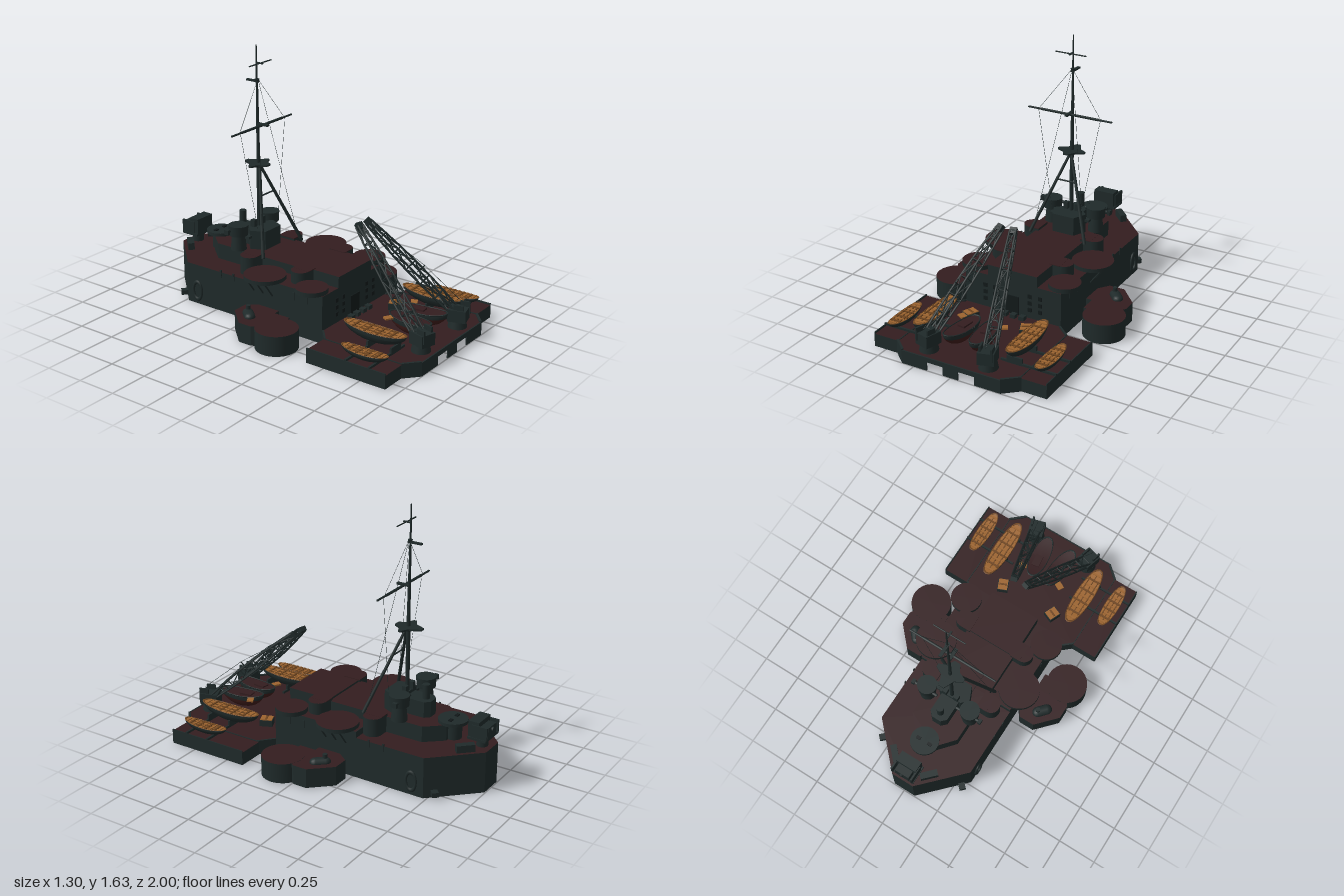
import * as THREE from 'three';

const make = (name, color) => new THREE.MeshStandardMaterial({ name, color, side: THREE.DoubleSide });
const steel = make('dark steel', 0x1f2a2a);
const deck = make('maroon deck', 0x331d1f);
const wood = make('boat wood', 0x9c642f);
const woodDark = make('dark wood', 0x6e451f);
const red = make('hull red', 0x3f1c1a);
const black = make('near black', 0x12191a);

const V = (x, y, z) => new THREE.Vector3(x, y, z);

export function createModel() {
  const root = new THREE.Group();
  root.name = 'warshipSuperstructure';
  const sides = [1, -1];

  const add = (name, geo, mat, x = 0, y = 0, z = 0, ry = 0, parent = root) => {
    const m = new THREE.Mesh(geo, mat);
    m.name = name;
    m.position.set(x, y, z);
    m.rotation.y = ry;
    parent.add(m);
    return m;
  };
  const box = (name, w, h, d, x, y, z, mat = steel, ry = 0, parent = root) =>
    add(name, new THREE.BoxGeometry(w, h, d), mat, x, y, z, ry, parent);
  // Upright drum, with its own top colour
  const drum = (name, r, y0, y1, x, z, top = steel, rb = r, seg = 28) =>
    add(name, new THREE.CylinderGeometry(r, rb, y1 - y0, seg), [steel, top, steel], x, (y0 + y1) / 2, z);
  const rod = (name, a, b, r, mat = steel, r2 = r, seg = 6, parent = root) => {
    const m = new THREE.Mesh(new THREE.CylinderGeometry(r2, r, a.distanceTo(b), seg), mat);
    m.name = name;
    m.position.copy(a).lerp(b, 0.5);
    m.quaternion.setFromUnitVectors(V(0, 1, 0), b.clone().sub(a).normalize());
    parent.add(m);
    return m;
  };
  const shapeOf = pts => new THREE.Shape(pts.map(p => new THREE.Vector2(p[0], p[1])));
  // Solid block from a plan outline of [x, z]
  const prism = (name, pts, y0, y1, top = deck) => {
    const g = new THREE.ExtrudeGeometry(shapeOf(pts), { depth: y1 - y0, bevelEnabled: false });
    return add(name, g.rotateX(Math.PI / 2), [top, steel], 0, y1, 0);
  };
  // Plating along an open outline, covered by a deck and open underneath
  const shell = (name, pts, y0, y1) => {
    const pos = [];
    for (let i = 0; i < pts.length - 1; i++) {
      const [ax, az] = pts[i], [bx, bz] = pts[i + 1];
      pos.push(ax, y0, az, bx, y0, bz, bx, y1, bz, ax, y0, az, bx, y1, bz, ax, y1, az);
    }
    const g = new THREE.BufferGeometry();
    g.setAttribute('position', new THREE.Float32BufferAttribute(pos, 3));
    g.computeVertexNormals();
    add(name + 'Plating', g, steel);
    add(name + 'Deck', new THREE.ShapeGeometry(shapeOf(pts)).rotateX(Math.PI / 2), deck, 0, y1, 0);
  };
  // Full outline from the +x half
  const mirror = half => [...half, ...half.map(([x, z]) => [-x, z]).reverse()];

  // Main hull, open inside from end to end
  shell('sternHull', mirror([[0.33, -0.27], [0.33, -0.73], [0.075, -0.995]]), 0, 0.26);
  shell('midHull', mirror([[0.33, -0.27], [0.33, 0.31]]), 0, 0.3);
  box('deckStep', 0.66, 0.04, 0.006, 0, 0.28, -0.27);
  prism('centralHouse', mirror([[0.17, 0.312], [0.17, -0.28]]), 0.3, 0.36);
  prism('centralHouseRoof', mirror([[0.17, 0.315], [0.17, 0.02]]), 0.36, 0.372);
  prism('bridgeHouse', mirror([[0.165, -0.28], [0.165, -0.62], [0.07, -0.73]]), 0.26, 0.36);

  // Low boat deck with a steel edge round its raised middle
  shell('boatDeck', mirror([[0.33, 1], [0.42, 0.92], [0.58, 0.92], [0.58, 0.38], [0.41, 0.38], [0.33, 0.31]]), 0, 0.083);
  box('deckRearBeam', 0.66, 0.083, 0.006, 0, 0.041, 0.315);
  box('deckFrontBeam', 0.66, 0.03, 0.008, 0, 0.07, 0.996);
  box('deckFrontPier', 0.1, 0.055, 0.008, 0, 0.0275, 0.996);
  for (const s of sides) {
    box('deckFrontPier', 0.17, 0.055, 0.008, s * 0.245, 0.0275, 0.996);
    box('deckGirder', 0.01, 0.07, 0.54, s * 0.4, 0.04, 0.65);
    box('sideCurb', 0.006, 0.012, 0.54, s * 0.577, 0.088, 0.65);
    box('deckSeam', 0.006, 0.005, 0.54, s * 0.41, 0.085, 0.65);
    prism('chamferEdge', [[0.33, 1], [0.42, 0.92], [0.405, 0.915], [0.325, 0.985]].map(([x, z]) => [s * x, z]), 0.07, 0.091, steel);
    prism('chamferEdge', [[0.33, 0.31], [0.41, 0.38], [0.41, 0.395], [0.325, 0.32]].map(([x, z]) => [s * x, z]), 0.07, 0.091, steel);
  }

  // Front bulkhead door and ports
  box('bulkheadDoor', 0.09, 0.12, 0.006, 0, 0.145, 0.313, black);
  for (const s of sides) {
    for (let i = 0; i < 2; i++) for (let j = 0; j < 3; j++)
      box('bulkheadPort', 0.025, 0.025, 0.006, s * (0.12 + i * 0.07), 0.14 + j * 0.045, 0.313, black);
    for (const x of [0.03, 0.09]) box('deckHatch', 0.035, 0.025, 0.035, s * x, 0.097, 0.35);
  }

  for (const s of sides) {
    // Upper gun platforms and lobes beside the house
    drum('frontGunPlatform', 0.1, 0.302, 0.33, s * 0.3, 0.21, deck);
    drum('sideGunPlatform', 0.13, 0.305, 0.33, s * 0.31, -0.13, deck);
    for (const z of [-0.2, -0.13, -0.06])
      rod('platformBracket', V(s * 0.33, 0.21, z), V(s * 0.4, 0.305, z), 0.005);
    for (const [z, y0] of [[0.07, 0.301], [-0.32, 0.261]]) {
      drum('houseLobe', 0.058, y0, 0.375, s * 0.22, z, deck);
      box('lobeNeck', 0.07, 0.372 - y0, 0.116, s * 0.185, (0.372 + y0) / 2, z);
      box('lobeNeckDeck', 0.07, 0.004, 0.116, s * 0.185, 0.374, z, deck);
    }
    // Low side sponsons
    drum('sponsonDrum', 0.13, 0, 0.125, s * 0.52, 0.12, deck, 0.13, 36);
    const house = [[0.33, -0.01], [0.37, -0.01], [0.37, 0.1], [0.45, 0.1], [0.58, 0.02], [0.6, -0.01], [0.6, -0.1],
      [0.48, -0.23], [0.38, -0.23], [0.33, -0.16]].map(([x, z]) => [s * x, z]);
    prism('sponsonHouse', house, 0.001, 0.118, steel);
    prism('sponsonHouseDeck', house, 0.118, 0.124);
    const hatch = add('sponsonHatch', new THREE.CapsuleGeometry(0.034, 0.06, 5, 14).rotateX(Math.PI / 2),
      steel, s * 0.48, 0.125, -0.12, s * 0.72);
    hatch.scale.y = 0.8;
    drum('sponsonVent', 0.014, 0.125, 0.175, s * 0.46, -0.14);
    // Hull fittings
    const ring = add('hullRing', new THREE.TorusGeometry(0.033, 0.008, 8, 24).rotateY(Math.PI / 2), steel, s * 0.335, 0.09, -0.65);
    ring.scale.y = 1.75;
    box('bowFitting', 0.04, 0.03, 0.045, s * 0.3, 0.035, -0.79, steel, s * -0.8);
    box('bowDeckLocker', 0.11, 0.05, 0.04, s * 0.125, 0.28, -0.885, steel, s * -0.8);
    for (const z of [0.2, 0.1, -0.36, -0.46])
      box('sideScuttle', 0.006, 0.05, 0.012, s * 0.332, 0.25, z);
  }

  // End gun
  drum('endGunPedestal', 0.035, 0.26, 0.33, 0, -0.93);
  box('endGunPlatform', 0.16, 0.014, 0.12, 0, 0.325, -0.93);
  box('endGunShield', 0.14, 0.1, 0.07, 0, 0.38, -0.905);
  box('endGunBreech', 0.1, 0.07, 0.06, 0, 0.365, -0.96);
  rod('endGunBarrel', V(0, 0.38, -0.95), V(0, 0.38, -1), 0.014);
  for (const s of sides) box('endGunCheek', 0.012, 0.08, 0.1, s * 0.07, 0.37, -0.945);

  // Round lookout platform
  drum('lookoutPedestal', 0.05, 0.26, 0.36, 0, -0.74);
  drum('lookoutPlatform', 0.09, 0.36, 0.38, 0, -0.735);
  for (const s of sides) box('lookoutBench', 0.03, 0.008, 0.02, s * 0.04, 0.383, -0.74, black);

  // Bridge block and directors
  prism('bridgeBlock', mirror([[0.075, -0.31], [0.115, -0.4], [0.075, -0.44]]), 0.36, 0.48, steel);
  prism('rearBridge', mirror([[0.06, -0.42], [0.06, -0.57], [0.03, -0.6]]), 0.36, 0.46, steel);
  drum('funnelPipe', 0.022, 0.46, 0.55, 0, -0.55);
  box('bridgeWing', 0.28, 0.015, 0.04, 0, 0.44, -0.41);
  for (const s of sides) {
    drum('directorPedestal', 0.04, 0.36, 0.46, s * 0.155, -0.46, steel, 0.05);
    drum('directorDrum', 0.062, 0.455, 0.52, s * 0.155, -0.46, steel, 0.058);
    rod('rangefinderArm', V(s * 0.07, 0.49, -0.48), V(s * 0.25, 0.49, -0.48), 0.01);
    box('rangefinderEnd', 0.02, 0.03, 0.03, s * 0.24, 0.49, -0.48);
    box('bridgeLamp', 0.03, 0.05, 0.03, s * 0.04, 0.5, -0.43);
  }

  // Tripod mast
  rod('mastLower', V(0, 0.36, -0.42), V(0, 0.95, -0.42), 0.013, steel, 0.012, 10);
  rod('mastUpper', V(0, 0.95, -0.42), V(0, 1.63, -0.425), 0.011, steel, 0.004, 10);
  for (const s of sides) rod('tripodLeg', V(s * 0.195, 0.36, -0.235), V(0, 0.88, -0.41), 0.011, steel, 0.009, 8);
  rod('tripodBrace', V(-0.065, 0.705, -0.35), V(0.065, 0.705, -0.35), 0.005);
  prism('mastTop', mirror([[0.02, -0.34], [0.045, -0.385], [0.092, -0.405], [0.092, -0.425], [0.045, -0.45], [0.015, -0.515]]), 0.88, 0.891, steel);
  drum('mastTopSupport', 0.055, 0.865, 0.88, 0, -0.42, steel, 0.03, 10);
  rod('mainYard', V(-0.29, 1.135, -0.385), V(0.29, 1.135, -0.385), 0.006);
  rod('mainYardCore', V(-0.2, 1.135, -0.385), V(0.2, 1.135, -0.385), 0.008);
  box('yardBracket', 0.02, 0.012, 0.08, 0, 1.14, -0.38);
  rod('topYard', V(-0.105, 1.52, -0.395), V(0.105, 1.52, -0.395), 0.004);
  box('topYardBracket', 0.01, 0.008, 0.05, 0, 1.52, -0.4);
  box('upperMastShelf', 0.02, 0.01, 0.09, 0, 1.405, -0.455);
  drum('upperMastCollar', 0.015, 1.4, 1.42, 0, -0.422, steel, 0.01, 10);
  for (const s of sides) {
    rod('rigging', V(0, 1.42, -0.415), V(s * 0.215, 1.137, -0.385), 0.0012, steel, 0.0012, 3);
    rod('rigging', V(s * 0.215, 1.135, -0.38), V(s * 0.1, 0.5, -0.35), 0.0012, steel, 0.0012, 3);
    rod('rigging', V(0, 1.42, -0.415), V(s * 0.18, 0.375, -0.25), 0.0012, steel, 0.0012, 3);
  }

  // Lattice cranes
  for (const s of sides) {
    const crane = new THREE.Group();
    crane.name = 'latticeCrane';
    root.add(crane);
    const bar = (a, b, r) => rod('craneBar', a, b, r, steel, r, 5, crane);
    const foot = V(s * 0.195, 0.19, 0.88), tip = V(s * 0.045, 0.668, 0.37);
    const dir = tip.clone().sub(foot).normalize();
    const u = V(0, 1, 0).cross(dir).normalize(), v = dir.clone().cross(u);
    const n = 6, st = [];
    for (let i = 0; i <= n; i++) {
      const t = i / n, w = 0.034 - 0.016 * t, d = 0.01 + 0.02 * Math.sin(Math.PI * Math.min(1, t * 0.85 + 0.1));
      st.push([[1, 1], [-1, 1], [-1, -1], [1, -1]].map(([a, b]) =>
        foot.clone().lerp(tip, t).addScaledVector(u, a * w).addScaledVector(v, b * d)));
    }
    for (let i = 0; i <= n; i++) for (let k = 0; k < 4; k++) {
      const k2 = (k + 1) % 4;
      bar(st[i][k], st[i][k2], 0.0035);
      if (i === n) continue;
      bar(st[i][k], st[i + 1][k], 0.0065);
      if (i % 2) bar(st[i][k], st[i + 1][k2], 0.0035);
      else bar(st[i][k2], st[i + 1][k], 0.0035);
    }
    const head = box('craneHead', 0.042, 0.03, 0.04, tip.x, tip.y, tip.z, steel, 0, crane);
    head.lookAt(tip.clone().add(dir));
    drum('cranePedestal', 0.05, 0.083, 0.13, s * 0.2, 0.91, steel, 0.058);
    box('craneHouse', 0.1, 0.075, 0.11, s * 0.2, 0.165, 0.915, steel, s * 0.28, crane);
    for (const e of sides) box('craneCheek', 0.012, 0.08, 0.06, s * 0.205 + e * 0.038, 0.195, 0.935, steel, s * 0.28, crane);
    // Topping cable over a strut halfway up
    const mid = foot.clone().lerp(tip, 0.42), strut = mid.clone().addScaledVector(v, 0.065);
    bar(mid, strut, 0.004);
    rod('craneCable', V(s * 0.21, 0.23, 0.95), strut, 0.0015, steel, 0.0015, 3, crane);
    rod('craneCable', strut, tip, 0.0015, steel, 0.0015, 3, crane);
  }

  // Ship's boats: half ellipsoid with full sides, raised sheer and a coloured bottom
  const boat = (name, x, z, w, l, y0, h, bottomMat, topMat, rimMat, ry = 0) => {
    const g = new THREE.Group();
    g.name = name;
    g.position.set(x, y0 + h, z);
    g.rotation.y = ry;
    root.add(g);
    const bend = geo => {
      const p = geo.attributes.position;
      for (let i = 0; i < p.count; i++) {
        const t = p.getZ(i), full = Math.max(1 - t * t, 0.05) ** -0.08;
        p.setXYZ(i, p.getX(i) * full * w / 2, p.getY(i) * h + 0.012 * t * t, t * l / 2);
      }
      geo.computeVertexNormals();
      return geo;
    };
    const band = (from, to) => bend(new THREE.SphereGeometry(1, 24, 5, 0, Math.PI * 2, Math.PI * from, Math.PI * (to - from)));
    add('boatTopsides', band(0.5, 0.6), steel, 0, 0, 0, 0, g);
    add('boatBottom', band(0.6, 1), bottomMat, 0, 0, 0, 0, g);
    add('boatInside', bend(new THREE.RingGeometry(0.02, 0.97, 24, 4).rotateX(-Math.PI / 2)), topMat, 0, 0.001, 0, 0, g);
    add('boatGunwale', bend(new THREE.TorusGeometry(0.98, 0.04, 5, 24).rotateX(Math.PI / 2)), rimMat, 0, 0.003, 0, 0, g);
    return g;
  };
  const woodenBoat = (name, x, z, w, l, y0, h) => {
    const g = boat(name, x, z, w, l, y0, h, steel, wood, woodDark);
    for (let i = -4; i <= 4; i++) {
      const t = i / 5;
      box('thwart', w * 0.9 * Math.sqrt(1 - t * t), 0.006, 0.012, 0, 0.006 + 0.012 * t * t, t * l / 2, i % 2 ? woodDark : wood, 0, g);
    }
    for (const e of sides) box('boatBench', 0.007, 0.006, l * 0.66, e * w * 0.28, 0.008, 0, woodDark, 0, g);
    box('boatKeelson', 0.006, 0.006, l * 0.85, 0, 0.006, 0, woodDark, 0, g);
  };
  for (const s of sides) {
    woodenBoat('outerBoat', s * 0.495, 0.725, 0.094, 0.31, 0.09, 0.045);
    woodenBoat('innerBoat', s * 0.312, 0.67, 0.118, 0.42, 0.115, 0.07);
    boat('launch', s * 0.075, 0.755, 0.12, 0.3, 0.1, 0.085, red, deck, steel, s * 0.12);
    box('launchCabin', 0.05, 0.015, 0.08, s * 0.075, 0.19, 0.72, deck, s * 0.12);
    box('launchSeat', 0.05, 0.01, 0.04, s * 0.14, 0.19, 0.645, wood, s * 0.5);
    // Small skiff, cradles and chocks
    box('skiffHull', 0.07, 0.04, 0.08, s * 0.19, 0.105, 0.48, steel, s * 0.4);
    box('skiffTop', 0.062, 0.006, 0.074, s * 0.19, 0.127, 0.48, wood, s * 0.4);
    box('skiffSeat', 0.05, 0.004, 0.012, s * 0.19, 0.131, 0.48, woodDark, s * 0.4);
    for (const z of [0.65, 0.81]) {
      box('boatCradle', 0.36, 0.014, 0.012, s * 0.4, 0.096, z);
      box('boatChock', 0.1, 0.045, 0.012, s * 0.312, 0.11, z);
    }
  }
  return root;
}
